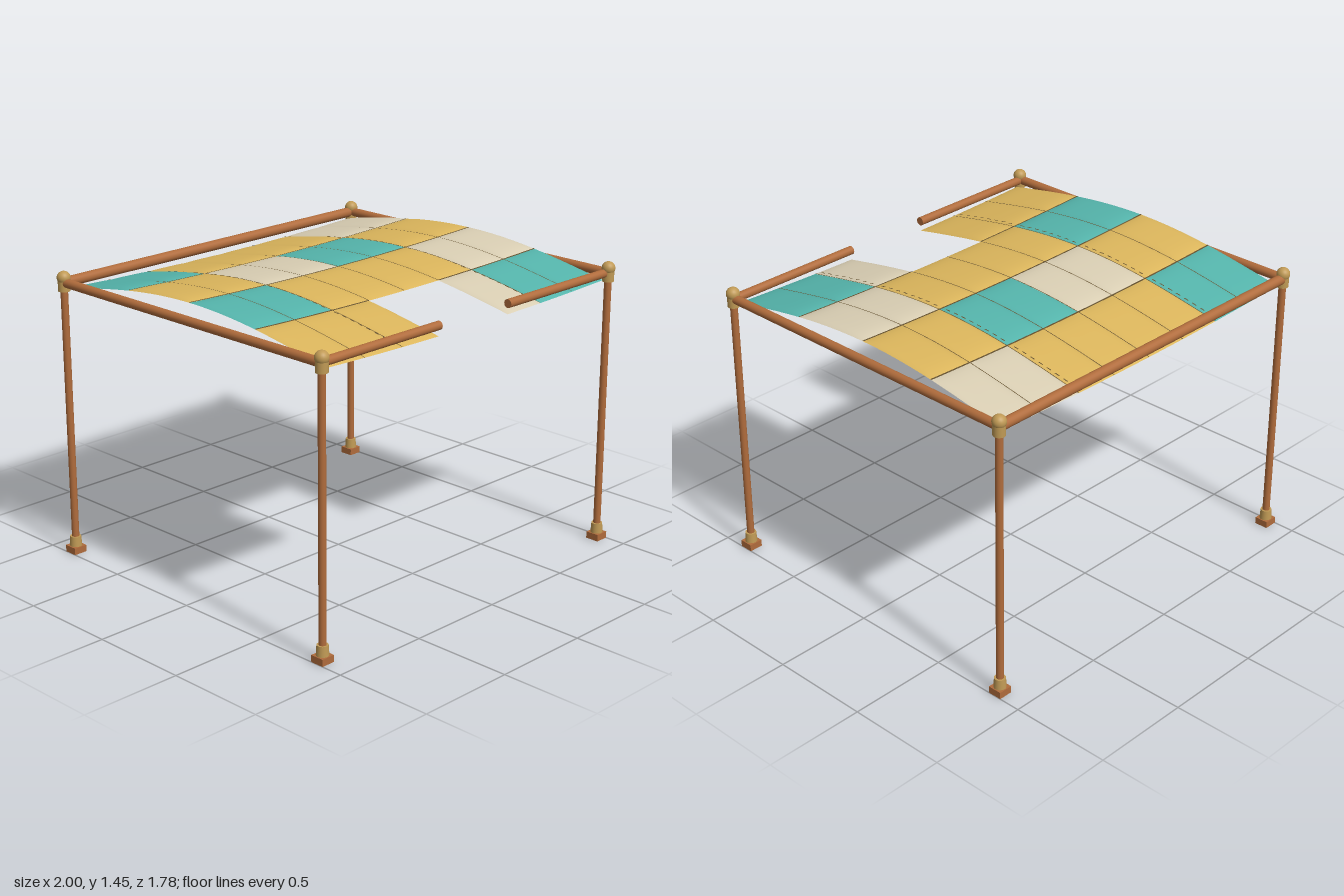
import * as THREE from 'three';

const mat = (name, color, side = THREE.FrontSide) => {
  const m = new THREE.MeshStandardMaterial({ color, side });
  m.name = name;
  return m;
};

export function createModel() {
  const root = new THREE.Group();
  root.name = 'canopy';
  const copper = mat('copper', 0xb06c3c);
  const brass = mat('brass', 0xc09a55);
  const thread = mat('dark thread', 0x64512f, THREE.DoubleSide);
  const cloth = {
    T: mat('teal cloth', 0x55b5ac, THREE.DoubleSide),
    Y: mat('yellow cloth', 0xdcb65c, THREE.DoubleSide),
    C: mat('cream cloth', 0xdacfb4, THREE.DoubleSide),
  };

  const add = (name, geo, material, x = 0, y = 0, z = 0, parent = root) => {
    const m = new THREE.Mesh(geo, material);
    m.name = name;
    m.position.set(x, y, z);
    parent.add(m);
    return m;
  };

  // Four posts with feet, collars and ball joints
  const PX = 0.965, PZ = 0.857, BEAM = 1.372;
  for (const sx of [-1, 1]) for (const sz of [-1, 1]) {
    const post = new THREE.Group();
    post.name = 'post';
    post.position.set(sx * PX, 0, sz * PZ);
    root.add(post);
    add('foot', new THREE.BoxGeometry(0.07, 0.034, 0.07), copper, 0, 0.017, 0, post);
    add('footCollar', new THREE.CylinderGeometry(0.027, 0.03, 0.05, 24), brass, 0, 0.059, 0, post);
    add('pole', new THREE.CylinderGeometry(0.018, 0.018, 1.33, 20), copper, 0, 0.695, 0, post);
    add('topCollar', new THREE.CylinderGeometry(0.029, 0.029, 0.062, 24), brass, 0, 1.362, 0, post);
    add('ballJoint', new THREE.SphereGeometry(0.033, 24, 16), brass, 0, 1.395, 0, post);
  }

  // Beams; the front one is broken by the opening
  const beam = (name, r, len, x, z, alongX) => {
    const g = new THREE.CylinderGeometry(r, r, len, 20);
    if (alongX) g.rotateZ(Math.PI / 2); else g.rotateX(Math.PI / 2);
    add(name, g, copper, x, BEAM, z);
  };
  beam('backBeam', 0.025, 2 * PX, 0, -PZ, true);
  for (const s of [-1, 1]) {
    beam('sideBeam', 0.022, 2 * PZ, s * PX, 0, false);
    beam('frontBeam', 0.021, PX - 0.232, s * (PX + 0.232) / 2, 0.85, true);
  }

  // Arched roof surface, sagging slightly along the middle
  const W = 0.935, D = 0.85;
  const roofY = (x, z) =>
    1.34 + 0.105 * Math.cos((z / D) * Math.PI / 2) - 0.02 * (1 - (x / W) ** 2);

  // Sheet over a rectangle, following the roof, with a pillow-like bulge
  const sheet = (x0, x1, z0, z1, nx, nz, bulge, lift) => {
    const g = new THREE.PlaneGeometry(2, 2, nx, nz);
    g.rotateX(-Math.PI / 2);
    const p = g.attributes.position;
    for (let i = 0; i < p.count; i++) {
      // crowd the grid towards the edges, where the pillow curves most
      const u = Math.sin(p.getX(i) * Math.PI / 2), v = Math.sin(p.getZ(i) * Math.PI / 2);
      const x = (x0 + x1) / 2 + u * (x1 - x0) / 2;
      const z = (z0 + z1) / 2 + v * (z1 - z0) / 2;
      const puff = bulge * (1 - u ** 6) * (1 - v ** 6);
      p.setXYZ(i, x, roofY(x, z) + puff + lift, z);
    }
    g.computeVertexNormals();
    return g;
  };

  // Patchwork, back row first; a dot is the opening
  const rows = ['TTYYYYCC', 'YYCCTTYY', 'TTYYYYCC', 'YYY..CTT'];
  const cw = W / 4, rd = D / 2;
  rows.forEach((row, r) => [...row].forEach((c, k) => {
    if (c === '.') return;
    const x0 = -W + k * cw, z0 = -D + r * rd;
    add('clothPanel', sheet(x0, x0 + cw, z0, z0 + rd, 14, 14, 0.011, 0), cloth[c]);
    // seam on the back edge of each panel
    if (r > 0) add('rowSeam', sheet(x0, x0 + cw, z0 - 0.004, z0 + 0.004, 4, 1, 0, 0.002), thread);
    // narrow seam between panels
    if (k > 0 && row[k - 1] !== '.')
      add('columnSeam', sheet(x0 - 0.002, x0 + 0.002, z0, z0 + rd, 1, 8, 0, 0.002), thread);
  }));

  // Dashed stitching beside two of the seams
  for (const x of [-0.483, 0.453]) {
    for (let r = 0; r < 4; r++) for (let i = 0; i < 8; i++) {
      const z = -D + r * rd + 0.04 + i * 0.049;
      const v = (z - (-D + (r + 0.5) * rd)) / (rd / 2);
      const u = 1 - 2 * 0.0145 / cw;
      const lift = 0.011 * (1 - u ** 6) * (1 - v ** 6) + 0.002;
      add('stitch', sheet(x - 0.003, x + 0.003, z - 0.012, z + 0.012, 1, 1, 0, lift), thread);
    }
  }
  return root;
}
